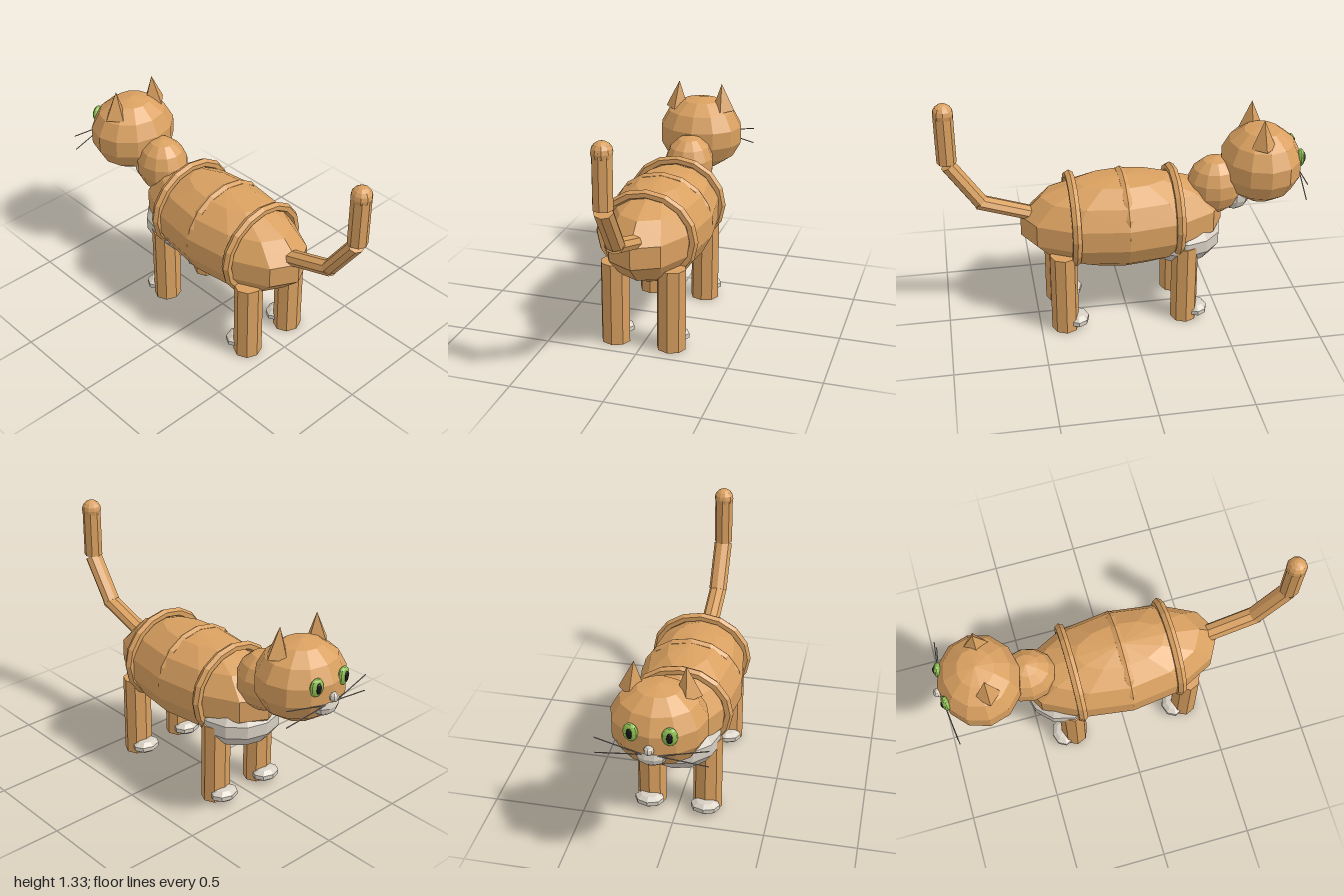
import * as THREE from 'three';

const flat = (name, color) => {
  const m = new THREE.MeshStandardMaterial({ color, flatShading: true });
  m.name = name;
  return m;
};

export function createModel() {
  const cat = new THREE.Group();
  cat.name = 'cat';
  const fur = flat('ginger fur', 0xd9a060);
  const white = flat('off-white fur', 0xd6cec2);
  const green = flat('eye green', 0x8fc052);
  const black = flat('pupil black', 0x151515);
  const grey = flat('whisker grey', 0x99958f);

  const add = (name, geometry, material, pos = [0, 0, 0]) => {
    const mesh = new THREE.Mesh(geometry, material);
    mesh.name = name;
    mesh.position.set(...pos);
    cat.add(mesh);
    return mesh;
  };
  const ellipsoid = (name, material, pos, radii, w = 12, h = 7) =>
    add(name, new THREE.SphereGeometry(1, w, h).scale(...radii), material, pos);
  // Straight rod between two points
  const rod = (name, material, from, to, radius, sides, depth = 1) => {
    const a = new THREE.Vector3(...from), b = new THREE.Vector3(...to);
    const dir = b.clone().sub(a);
    const geo = new THREE.CylinderGeometry(radius, radius, dir.length(), sides).scale(1, 1, depth);
    const mesh = add(name, geo, material, a.clone().add(b).multiplyScalar(0.5).toArray());
    mesh.quaternion.setFromUnitVectors(new THREE.Vector3(0, 1, 0), dir.normalize());
    return mesh;
  };

  // Body with three raised bands
  ellipsoid('body', fur, [0, 0.585, 0.02], [0.287, 0.267, 0.572]);
  for (const z of [0.3, 0.02, -0.26]) {
    const band = new THREE.TorusGeometry(0.255, 0.027, 6, 16).scale(1, 0.93, 1);
    add('bodyBand', band, fur, [0, 0.602, z]);
  }
  ellipsoid('chest', white, [0, 0.465, -0.305], [0.232, 0.155, 0.23]);

  // Neck and throat
  ellipsoid('neck', fur, [0, 0.745, -0.495], [0.142, 0.165, 0.155]);
  ellipsoid('throat', white, [0, 0.675, -0.605], [0.085, 0.088, 0.09], 10);

  // Head and face
  ellipsoid('head', fur, [0, 0.86, -0.748], [0.25, 0.217, 0.225]);
  ellipsoid('muzzle', white, [0, 0.782, -0.92], [0.08, 0.055, 0.055], 10, 6);
  ellipsoid('nose', white, [0, 0.842, -0.974], [0.026, 0.026, 0.026], 8, 6);

  for (const s of [-1, 1]) {
    const ear = add('ear', new THREE.ConeGeometry(0.068, 0.16, 4), fur, [s * 0.134, 1.088, -0.72]);
    ear.rotation.z = s * 0.07;
    ellipsoid('eye', green, [s * 0.095, 0.915, -0.943], [0.04, 0.05, 0.022], 12, 8).rotation.y = -s * 0.15;
    ellipsoid('pupil', black, [s * 0.097, 0.915, -0.959], [0.017, 0.03, 0.011], 10, 8).rotation.y = -s * 0.15;
    for (const y of [0.848, 0.757])
      rod('whisker', grey, [s * 0.04, 0.805, -0.96], [s * 0.28, y, -0.93], 0.003, 5);

    // Legs and paws
    for (const z of [0.366, -0.302]) {
      const leg = new THREE.CylinderGeometry(0.08, 0.08, 0.465, 8).scale(1, 1, 0.93);
      add('leg', leg, fur, [s * 0.156, 0.237, z]);
      ellipsoid('paw', white, [s * 0.156, 0.052, z - 0.068], [0.085, 0.04, 0.066], 8, 5);
    }
  }

  // Tail, bent upwards in three straight lengths
  rod('tailBase', fur, [0, 0.645, 0.48], [0, 0.752, 0.8], 0.05, 8, 0.78);
  rod('tailBend', fur, [0, 0.755, 0.786], [0, 0.985, 0.942], 0.052, 8, 0.8);
  rod('tailTop', fur, [0, 1.0, 0.945], [0, 1.285, 0.945], 0.052, 8);
  ellipsoid('tailTip', fur, [0, 1.278, 0.945], [0.055, 0.055, 0.055], 10, 8);

  return cat;
}
